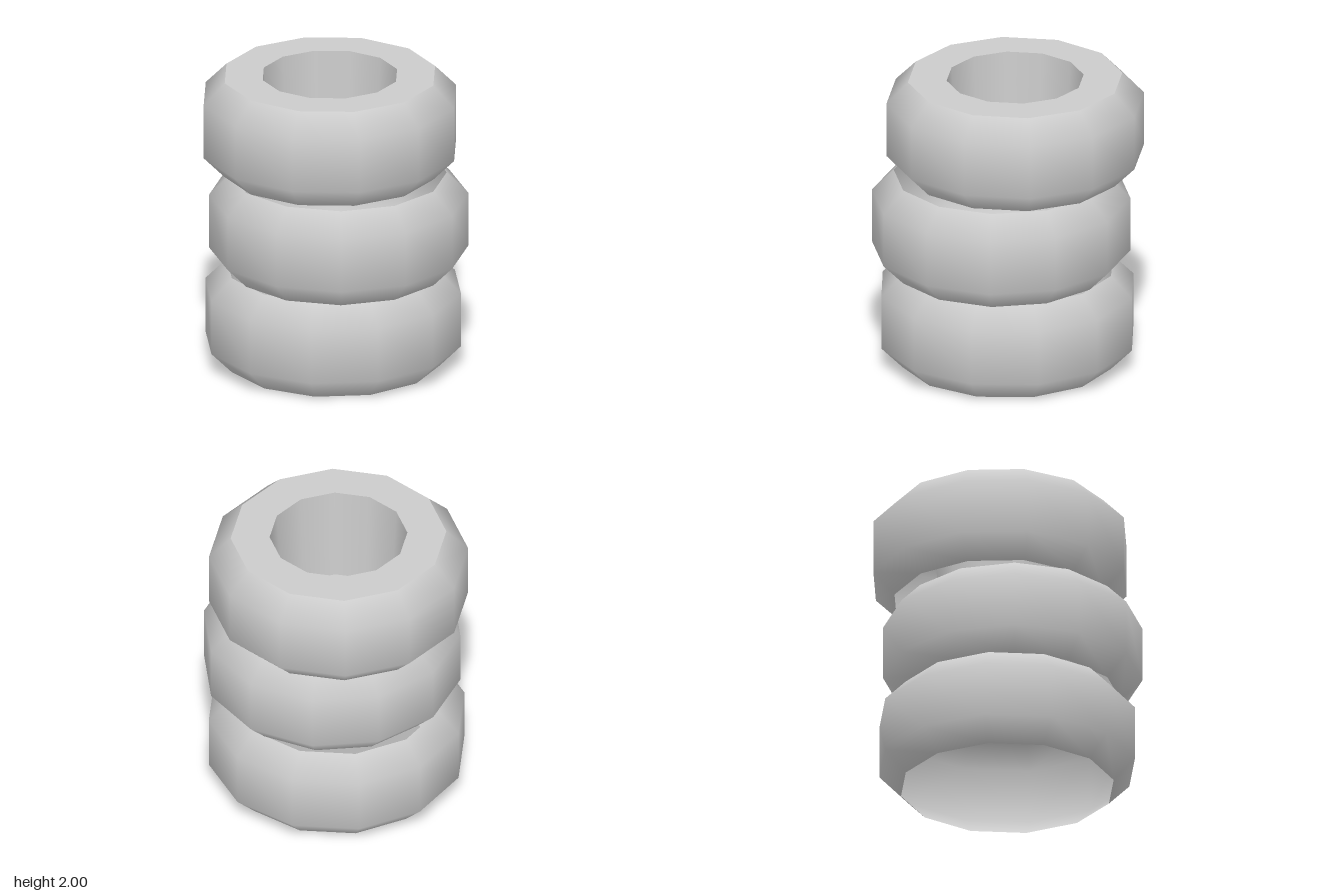
import * as THREE from 'three';

const SIDES = 12;
const HEIGHT = 2 / 3;

export function createModel() {
  const model = new THREE.Group();
  model.name = 'tyreStack';

  // open shells, so both sides show
  const rubber = new THREE.MeshStandardMaterial({ color: 0xcccccc, side: THREE.DoubleSide });
  rubber.name = 'light grey rubber';

  // turn a profile of [radius, height] points into a twelve-sided ring
  const ring = (name, profile) => {
    const points = profile.map(([r, y]) => new THREE.Vector2(r, y));
    const mesh = new THREE.Mesh(new THREE.LatheGeometry(points, SIDES), rubber);
    mesh.name = name;
    return mesh;
  };

  // each tyre is shifted and turned a little: x, z, angle in degrees
  const tyres = [
    ['bottomTyre', -0.005, 0.01, 0],
    ['middleTyre', 0.037, 0.04, 19],
    ['topTyre', -0.035, -0.035, 7],
  ].map(([name, x, z, angle], i) => {
    const tyre = new THREE.Group();
    tyre.name = name;
    tyre.position.set(x, i * HEIGHT, z);
    tyre.rotation.y = -THREE.MathUtils.degToRad(angle);
    tyre.add(ring('tread', [[0.717, 0], [0.861, 0.147], [0.861, 0.52], [0.717, HEIGHT]]));
    model.add(tyre);
    return tyre;
  });

  // the top tyre has a flat sidewall and a deep, slightly tapered well
  tyres[2].add(
    ring('sidewall', [[0.717, HEIGHT], [0.458, HEIGHT]]),
    ring('wellWall', [[0.458, HEIGHT], [0.42, 0.01]]),
    ring('wellFloor', [[0.42, 0.01], [0, 0.01]]),
  );

  return model;
}
